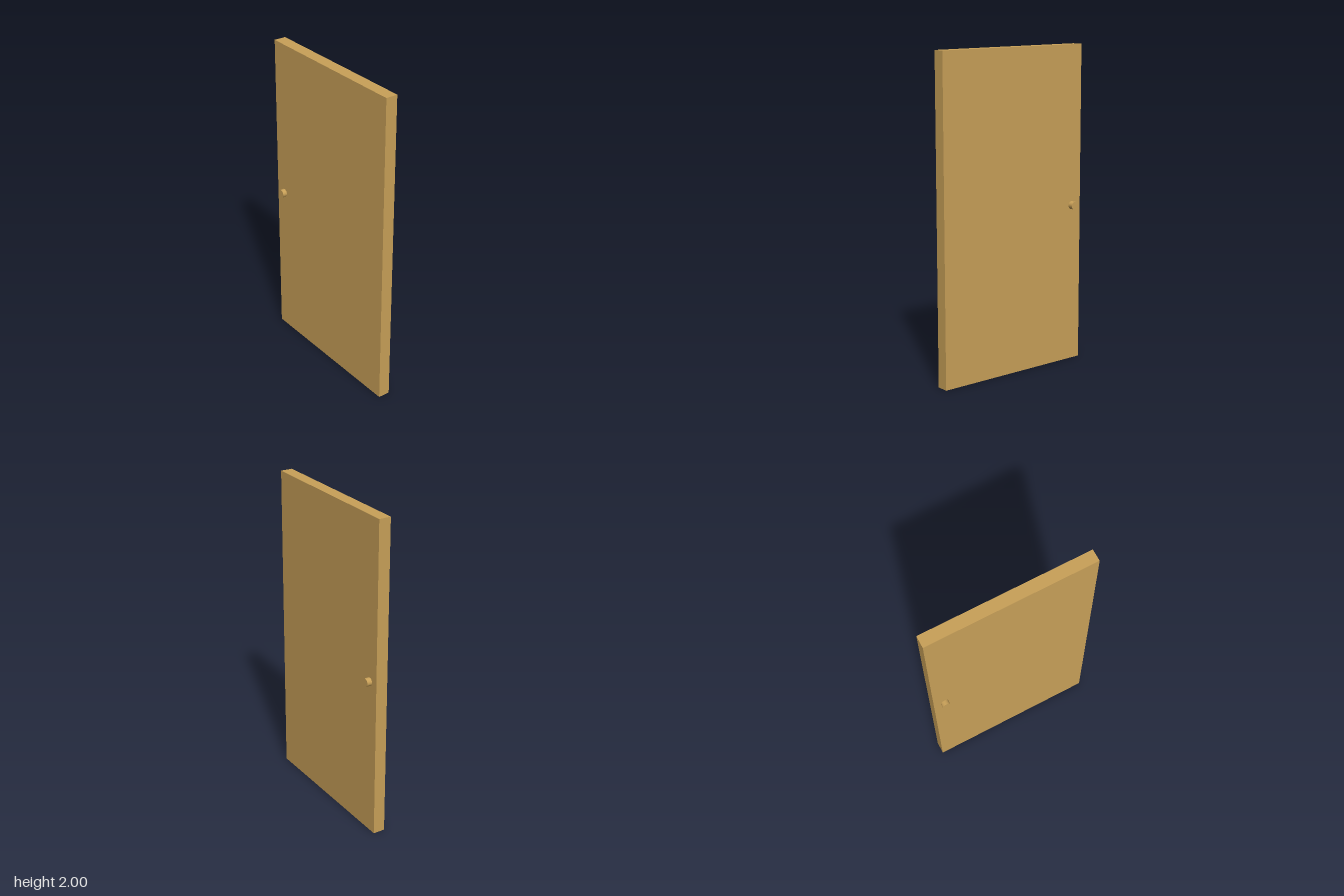
import * as THREE from 'three';

export function createModel() {
  const group = new THREE.Group();
  const material = new THREE.MeshStandardMaterial({ color: 0xc8a058 });

  // Plain slab standing on the floor, facing sideways
  const thickness = 0.075, slabX = -0.002;
  const slab = new THREE.Mesh(new THREE.BoxGeometry(thickness, 2, 1.055), material);
  slab.name = 'doorPanel';
  slab.position.set(slabX, 1, 0);
  group.add(slab);

  // A short round knob on each face, near the back edge
  const reach = 0.067;
  for (const side of [-1, 1]) {
    const face = slabX + side * thickness / 2;
    const length = Math.abs(side * reach - face);
    const geometry = new THREE.CylinderGeometry(0.025, 0.025, length, 32);
    geometry.rotateZ(Math.PI / 2);
    const knob = new THREE.Mesh(geometry, material);
    knob.name = side > 0 ? 'leftKnob' : 'rightKnob';
    knob.position.set((face + side * reach) / 2, 1, -0.458);
    group.add(knob);
  }
  return group;
}
